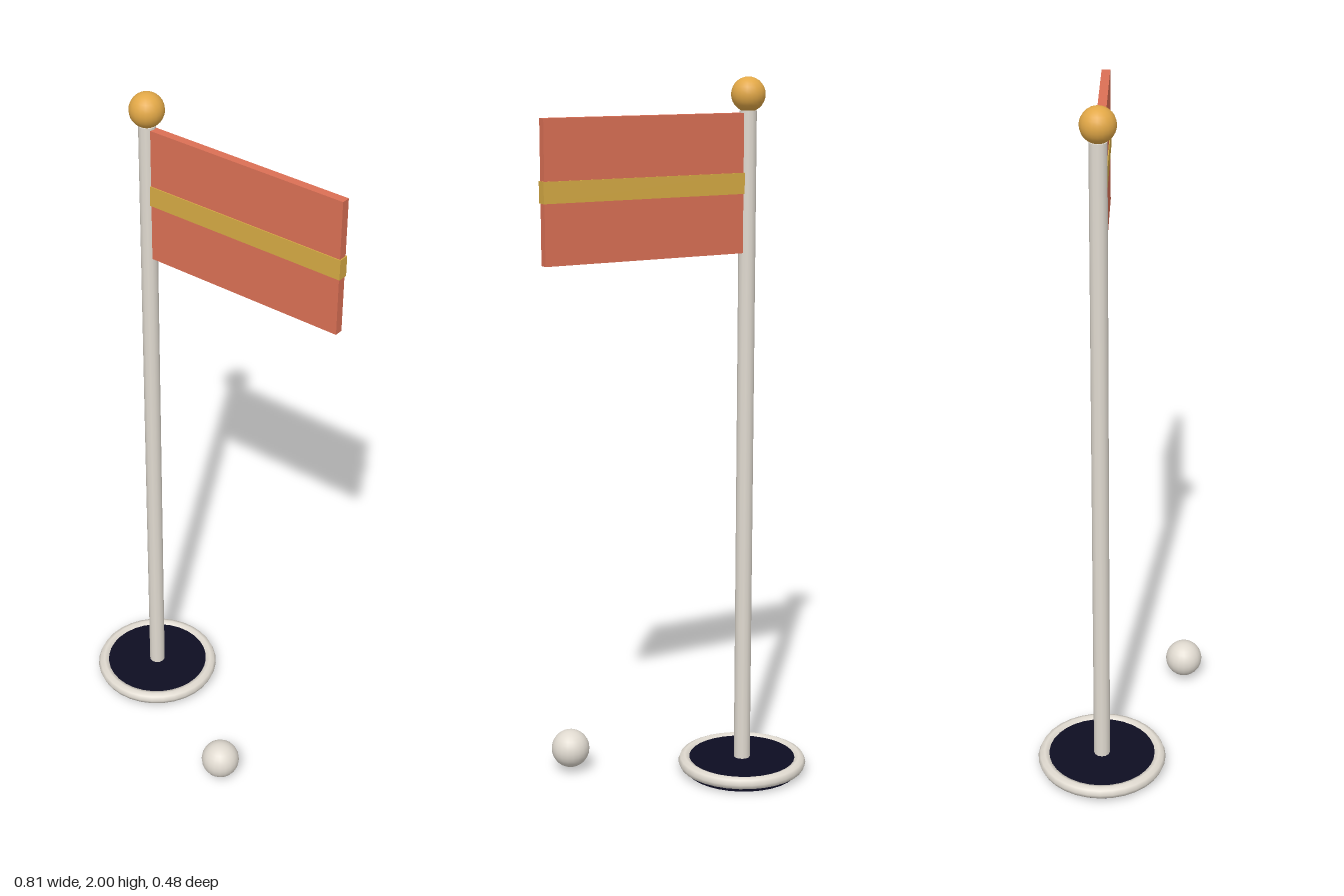
import * as THREE from 'three';

const flat = (name, color) => {
  const m = new THREE.MeshStandardMaterial({ color });
  m.name = name;
  return m;
};

export function createModel() {
  const group = new THREE.Group();
  const white = flat('warmWhite', 0xe0dad0);
  const navy = flat('darkNavy', 0x0d0d22);
  const red = flat('coralRed', 0xdb7055);
  const yellow = flat('stripeYellow', 0xd6aa44);
  const gold = flat('gold', 0xe2a847);

  const add = (name, geometry, material, x, y, z) => {
    const mesh = new THREE.Mesh(geometry, material);
    mesh.name = name;
    mesh.position.set(x, y, z);
    group.add(mesh);
    return mesh;
  };

  const px = -0.218, pz = -0.056; // pole axis

  // Cup: dark disc inside a rounded rim
  add('cupHole', new THREE.CylinderGeometry(0.163, 0.163, 0.041, 32), navy, px, 0.0205, pz);
  add('cupRim', new THREE.TorusGeometry(0.168, 0.0187, 8, 32).rotateX(Math.PI / 2), white, px, 0.0285, pz);

  // Pole and finial
  add('pole', new THREE.CylinderGeometry(0.0235, 0.0235, 1.88, 12), white, px, 0.97, pz);
  add('finial', new THREE.SphereGeometry(0.047, 20, 14), gold, px, 1.953, pz);

  // Flag with a slightly proud stripe
  const x0 = -0.205;
  const panel = (name, end, y0, y1, depth, material) =>
    add(name, new THREE.BoxGeometry(end - x0, y1 - y0, depth), material, (x0 + end) / 2, (y0 + y1) / 2, pz);
  panel('flag', 0.401, 1.525, 1.904, 0.024, red);
  panel('flagStripe', 0.404, 1.687, 1.744, 0.029, yellow);

  // Ball beside the cup
  add('ball', new THREE.SphereGeometry(0.0555, 20, 14), white, 0.223, 0.068, 0.186);

  return group;
}
